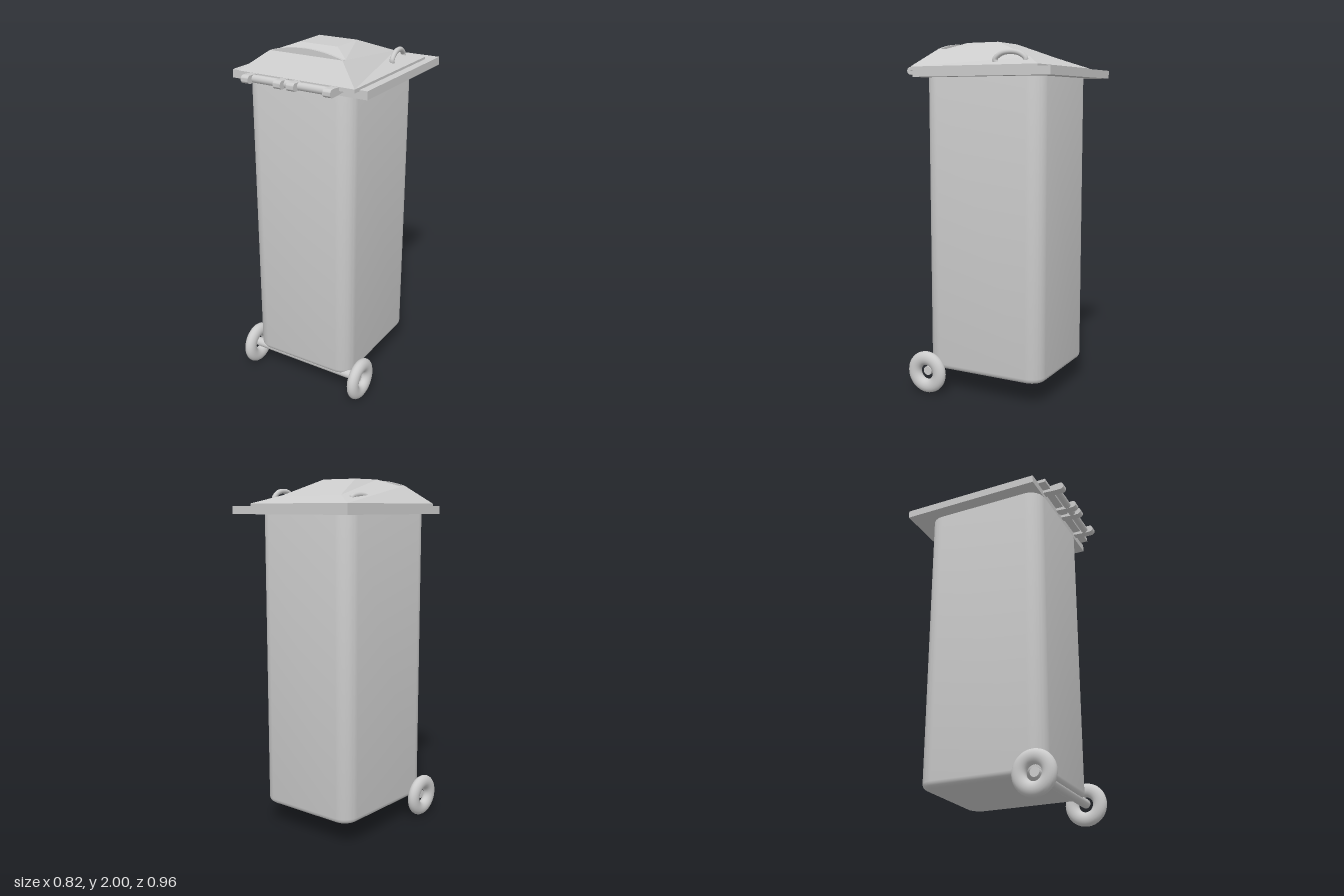
import * as THREE from 'three';
import { toCreasedNormals } from 'three/addons/utils/BufferGeometryUtils.js';

const material = new THREE.MeshStandardMaterial({ color: 0xcccccc });

function add(parent, name, geometry, x = 0, y = 0, z = 0) {
  const mesh = new THREE.Mesh(geometry, material);
  mesh.name = name;
  mesh.position.set(x, y, z);
  parent.add(mesh);
  return mesh;
}

// Rectangle with rounded corners, centred on the origin
function roundedRect(w, h, r) {
  const s = new THREE.Shape();
  s.absarc(w / 2 - r, h / 2 - r, r, 0, Math.PI / 2);
  s.absarc(-w / 2 + r, h / 2 - r, r, Math.PI / 2, Math.PI);
  s.absarc(-w / 2 + r, -h / 2 + r, r, Math.PI, Math.PI * 1.5);
  s.absarc(w / 2 - r, -h / 2 + r, r, Math.PI * 1.5, Math.PI * 2);
  s.closePath();
  return s;
}

// Faceted solid through four-cornered rings, from the bottom up
function ringSolid(rings) {
  const pos = [];
  const quad = (a, b, c, d) => pos.push(...a, ...b, ...c, ...a, ...c, ...d);
  for (let k = 0; k < rings.length - 1; k++) {
    for (let i = 0; i < 4; i++) {
      const j = (i + 1) % 4;
      quad(rings[k][i], rings[k][j], rings[k + 1][j], rings[k + 1][i]);
    }
  }
  const [a, b, c, d] = rings[0];
  quad(d, c, b, a);
  quad(...rings[rings.length - 1]);
  const g = new THREE.BufferGeometry();
  g.setAttribute('position', new THREE.Float32BufferAttribute(pos, 3));
  g.computeVertexNormals();
  return g;
}

// Corners: back right, front right, front left, back left
function ring(xr, xl, zBack, zFront, yBack, yFront = yBack) {
  return [[xr, yBack, zBack], [xr, yFront, zFront], [xl, yFront, zFront], [xl, yBack, zBack]];
}

function buildBody(parent) {
  const bevel = 0.03;
  let g = new THREE.ExtrudeGeometry(roundedRect(0.64 - 2 * bevel, 0.73 - 2 * bevel, 0.06), {
    depth: 1.65, bevelEnabled: true, bevelSize: bevel, bevelThickness: bevel, bevelSegments: 4, curveSegments: 8,
  });
  g.rotateX(-Math.PI / 2);
  g = toCreasedNormals(g, 0.6);
  add(parent, 'body', g, -0.01, 0.16, -0.015);
}

function buildLid(parent) {
  const lid = new THREE.Group();
  lid.name = 'lid';
  parent.add(lid);
  add(lid, 'lidSlab', new THREE.BoxGeometry(0.82, 0.045, 0.828), 0, 1.8295, -0.064);

  // Stepped dome with a flat top
  const low = ring(-0.335, 0.365, -0.385, 0.395, 1.845);
  const base = ring(-0.335, 0.365, -0.385, 0.395, 1.865);
  const rim = ring(-0.207, 0.233, -0.28, 0.29, 1.907, 1.967);
  const inner = ring(-0.202, 0.228, -0.278, 0.25, 1.907, 1.963);
  const top = ring(-0.103, 0.13, -0.03, 0.165, 2);
  add(lid, 'lidDome', ringSolid([low, base, rim, inner, top]));

  // Arched lip along the front of the dome
  const arch = new THREE.Shape();
  arch.moveTo(-0.22, -0.01);
  arch.lineTo(0.22, -0.01);
  arch.lineTo(0.22, 0);
  arch.quadraticCurveTo(0, 0.066, -0.22, 0);
  const lip = new THREE.ExtrudeGeometry(arch, { depth: 0.016, bevelEnabled: false, curveSegments: 16 });
  add(lid, 'domeLip', toCreasedNormals(lip, 0.5), 0.013, 1.967, 0.272);

  // Arched grab handles
  const handles = [
    ['rightHandle', -0.255, -0.255, -0.252, -0.123, 1.885, 1.907],
    ['leftHandle', 0.283, 0.304, -0.278, -0.105, 1.885, 1.928],
  ];
  for (const [name, x0, x1, z0, z1, yLow, yTop] of handles) {
    const at = (t, y) => new THREE.Vector3(x0 + (x1 - x0) * t, y, z0 + (z1 - z0) * t);
    const path = new THREE.CatmullRomCurve3([
      at(0.06, yLow - 0.015), at(0, yLow + 0.01), at(0.25, yTop), at(0.75, yTop), at(1, yLow + 0.01), at(0.94, yLow - 0.015),
    ]);
    add(lid, name, new THREE.TubeGeometry(path, 32, 0.014, 10));
  }
}

function buildHinge(parent) {
  const hinge = new THREE.Group();
  hinge.name = 'hinge';
  parent.add(hinge);

  const pin = new THREE.CylinderGeometry(0.021, 0.021, 0.5, 16);
  pin.rotateZ(Math.PI / 2);
  add(hinge, 'hingePin', pin, 0.01, 1.845, 0.424);

  // Round-ended knuckles
  const profile = new THREE.Shape();
  profile.moveTo(0.34, -0.016);
  profile.lineTo(0.42, -0.022);
  profile.lineTo(0.456, -0.022);
  profile.absarc(0.456, 0, 0.022, -Math.PI / 2, Math.PI / 2);
  profile.lineTo(0.42, 0.02);
  profile.lineTo(0.34, 0.012);
  profile.closePath();
  let knuckle = new THREE.ExtrudeGeometry(profile, { depth: 0.044, bevelEnabled: false, curveSegments: 8 });
  knuckle.rotateY(-Math.PI / 2);
  knuckle = toCreasedNormals(knuckle, 0.6);
  for (const x of [-0.237, -0.038, 0.042, 0.255]) add(hinge, 'hingeKnuckle', knuckle, x + 0.022, 1.846, 0);
}

function buildWheels(parent) {
  const tyre = new THREE.TorusGeometry(0.082, 0.04, 18, 40);
  tyre.scale(1, 1, 0.8);
  tyre.rotateY(Math.PI / 2);
  add(parent, 'rightWheel', tyre, -0.352, 0.124, 0.308).rotation.z = 0.03;
  add(parent, 'leftWheel', tyre, 0.372, 0.124, 0.308);

  const axle = new THREE.CylinderGeometry(0.026, 0.026, 0.72, 20);
  axle.rotateZ(Math.PI / 2);
  add(parent, 'axle', axle, 0.01, 0.129, 0.308);
}

export function createModel() {
  const model = new THREE.Group();
  model.name = 'wheeledBin';
  buildBody(model);
  buildLid(model);
  buildHinge(model);
  buildWheels(model);
  return model;
}
